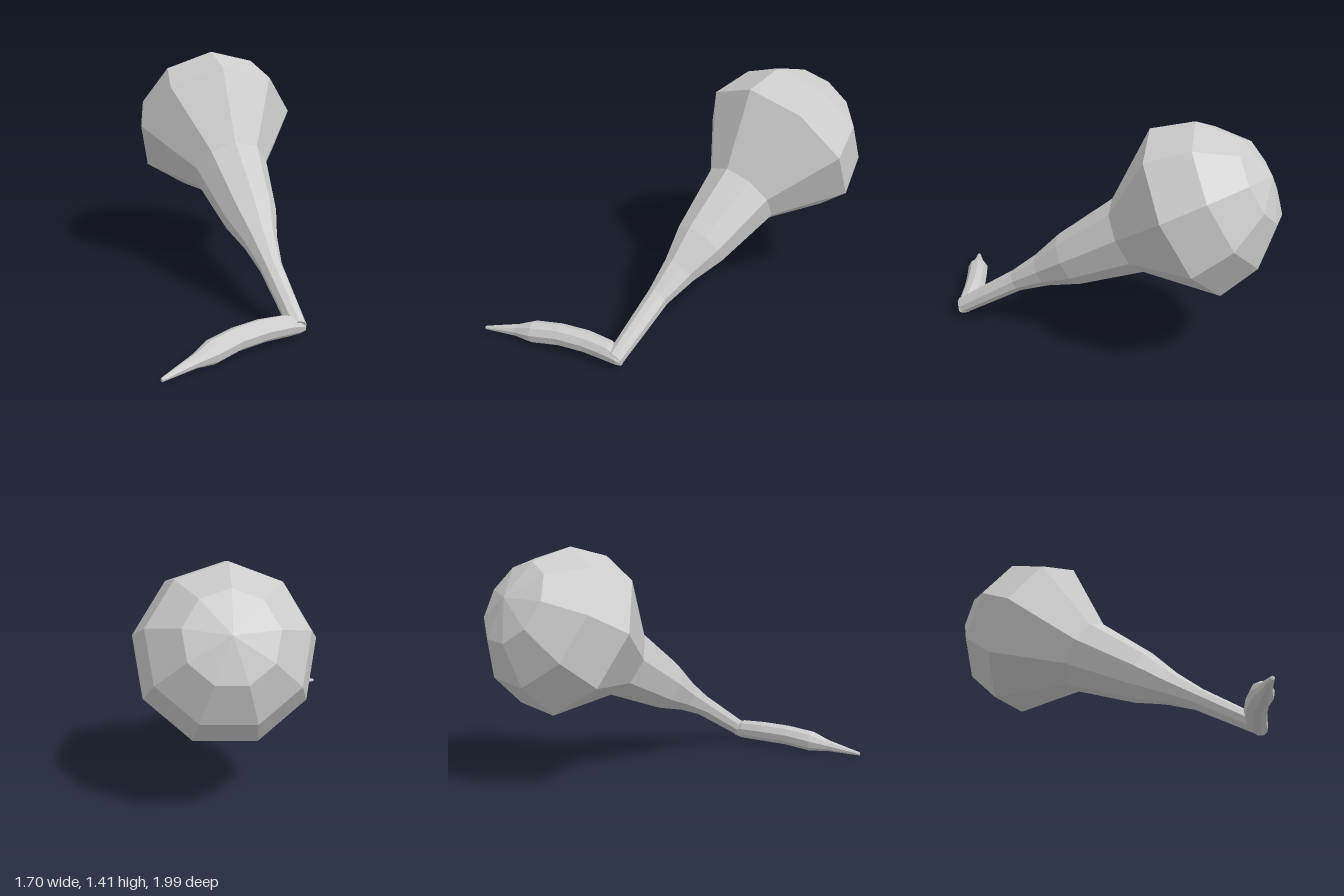
import * as THREE from 'three';

const SIDES = 9;

// Faceted loft: rings are [centre, radius], all square to one direction
function loft(name, rings, dir, start) {
  const d = dir.clone().normalize();
  const u = start.clone().addScaledVector(d, -start.dot(d)).normalize();
  const v = new THREE.Vector3().crossVectors(d, u);
  const pos = [];
  const index = [];
  for (const [c, r] of rings) {
    for (let i = 0; i < SIDES; i++) {
      const a = (i / SIDES) * Math.PI * 2;
      const p = c.clone().addScaledVector(u, r * Math.cos(a)).addScaledVector(v, r * Math.sin(a));
      pos.push(p.x, p.y, p.z);
    }
  }
  const first = rings[0][0];
  const last = rings[rings.length - 1][0];
  const s = rings.length * SIDES;
  pos.push(first.x, first.y, first.z, last.x, last.y, last.z);
  for (let i = 0; i < SIDES; i++) {
    const j = (i + 1) % SIDES;
    for (let k = 0; k < rings.length - 1; k++) {
      const a = k * SIDES;
      const b = a + SIDES;
      index.push(a + i, a + j, b + j, a + i, b + j, b + i);
    }
    // end caps
    index.push(s, j, i, s + 1, s - SIDES + i, s - SIDES + j);
  }
  const g = new THREE.BufferGeometry();
  g.setAttribute('position', new THREE.Float32BufferAttribute(pos, 3));
  g.setIndex(index);
  g.computeVertexNormals();
  const mesh = new THREE.Mesh(g, new THREE.MeshStandardMaterial({ color: 0xcccccc, flatShading: true }));
  mesh.name = name;
  return mesh;
}

export function createModel() {
  const group = new THREE.Group();
  group.name = 'bulbWithBentStem';
  const V = (x, y, z) => new THREE.Vector3(x, y, z);

  // Bulb axis: centre of the wide rim, pointing up and back
  const centre = V(0.367, 0.9, -0.486);
  const axis = V(0.213, 0.486, -0.848).normalize();
  const along = (t) => centre.clone().addScaledVector(axis, t);
  const R = 0.516;

  // Flaring stem, rim and round back of the bulb
  const rings = [
    [V(0.034, 0.078, 0.925), 0.052],
    [along(-1.23), 0.068],
    [along(-1.03), 0.104],
    [along(-0.82), 0.166],
    [along(-0.4), 0.235],
  ];
  for (const deg of [0, 30, 60]) {
    const a = THREE.MathUtils.degToRad(deg);
    rings.push([along(R * Math.sin(a)), R * Math.cos(a)]);
  }
  rings.push([along(R), 0.0005]);
  group.add(loft('bulbAndStem', rings, axis, V(-0.17, 0.87, 0.457)));

  // Slim side arm, tapering to a small tip
  const arm = [
    [V(0.075, 0.07, 0.92), 0.026],
    [V(0.045, 0.08, 0.907), 0.048],
    [V(-0.02, 0.088, 0.893), 0.062],
    [V(-0.18, 0.095, 0.888), 0.066],
    [V(-0.36, 0.092, 0.903), 0.066],
    [V(-0.53, 0.07, 0.928), 0.067],
    [V(-0.64, 0.053, 0.945), 0.038],
    [V(-0.855, 0.02, 0.98), 0.011],
  ];
  group.add(loft('sideArm', arm, V(-1, -0.06, 0.08), V(0, 1, 0)));

  return group;
}
